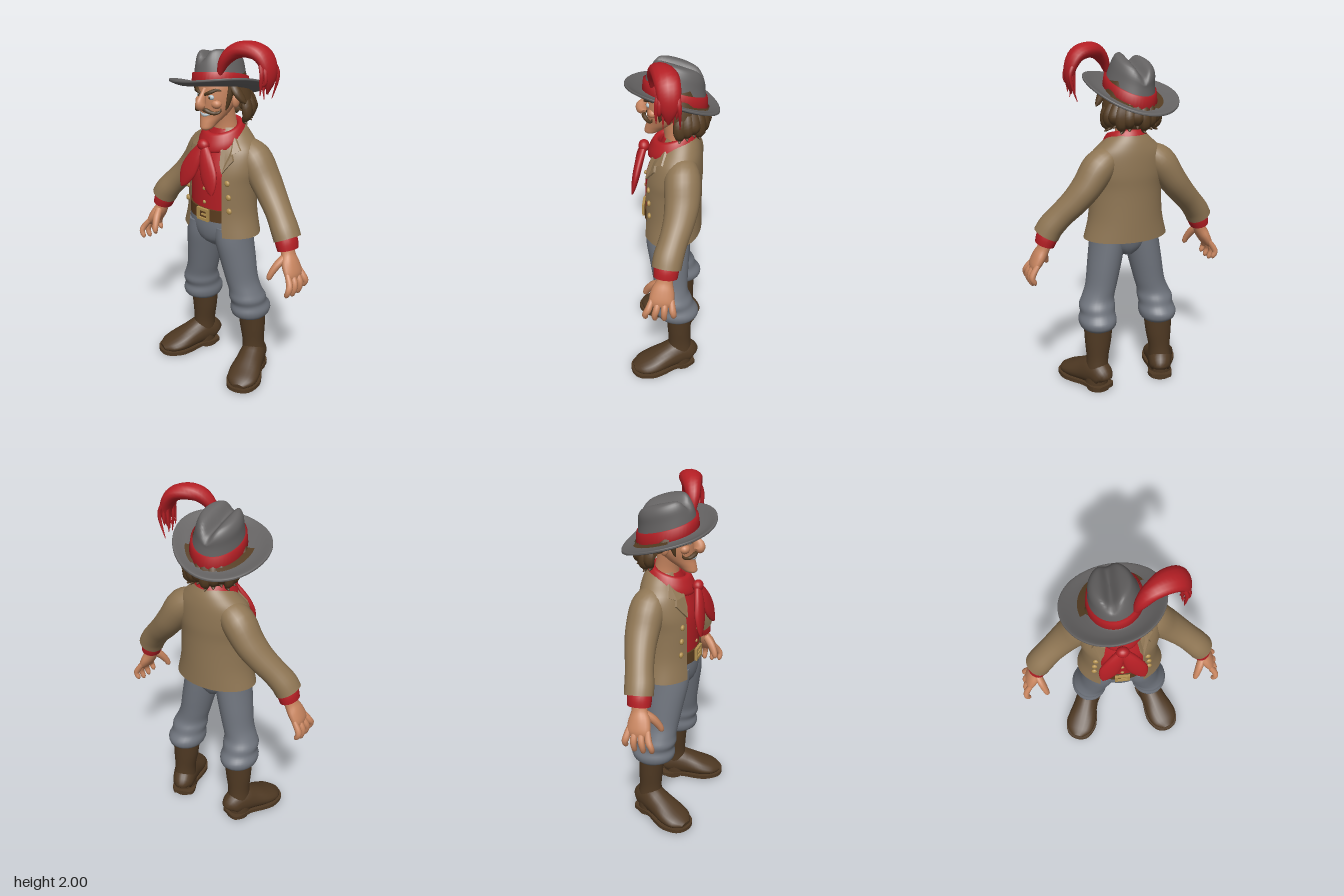
import * as THREE from 'three';

const V = (x, y, z) => new THREE.Vector3(x, y, z);
const X = V(1, 0, 0), Z = V(0, 0, 1);

// Catmull-Rom through rows of numbers, k steps per span
function smooth(st, k) {
  const out = [], n = st.length;
  for (let i = 0; i < n - 1; i++) {
    const p = st[Math.max(i - 1, 0)], q = st[i], r = st[i + 1], s = st[Math.min(i + 2, n - 1)];
    for (let j = 0; j < k; j++) {
      const t = j / k;
      out.push(q.map((b, c) => {
        const cubic = 3 * (b - r[c]) + s[c] - p[c], square = 2 * p[c] - 5 * b + 4 * r[c] - s[c];
        return b + 0.5 * t * (r[c] - p[c] + t * (square + t * cubic));
      }));
    }
  }
  out.push(st[n - 1].slice());
  return out;
}

// Skin over rows of points; closed rows wrap, and may be capped
function skin(rows, closed = true, caps = closed) {
  const n = rows[0].length, pos = [], idx = [], m = closed ? n : n - 1;
  rows.forEach(r => r.forEach(p => pos.push(p.x, p.y, p.z)));
  for (let j = 0; j < rows.length - 1; j++) for (let i = 0; i < m; i++) {
    const a = j * n + i, b = j * n + (i + 1) % n;
    idx.push(a, b, b + n, a, b + n, a + n);
  }
  if (caps) [0, rows.length - 1].forEach((j, top) => {
    const c = rows[j].reduce((s, p) => s.add(p), V(0, 0, 0)).divideScalar(n), base = pos.length / 3;
    [...rows[j], c].forEach(p => pos.push(p.x, p.y, p.z));
    for (let i = 0; i < n; i++) {
      const a = base + i, b = base + (i + 1) % n;
      top ? idx.push(a, b, base + n) : idx.push(b, a, base + n);
    }
  });
  const g = new THREE.BufferGeometry();
  g.setAttribute('position', new THREE.Float32BufferAttribute(pos, 3));
  g.setIndex(idx);
  g.computeVertexNormals();
  return g;
}

// Level slices, bottom up: [x, y, z, rx, rz, frontGapAngle]
function stack(st, seg = 28, k = 4) {
  const open = st[0].length > 5;
  return skin(smooth(st, k).map(([x, y, z, a, b, g = 0]) => Array.from({ length: open ? seg + 1 : seg }, (_, i) => {
    const t = g + (2 * Math.PI - 2 * g) * i / seg;
    return V(x + a * Math.sin(t), y, z + b * Math.cos(t));
  })), !open);
}

// Slices square to a path: [x, y, z, a along ref, b across]
function limb(st, ref, seg = 16, k = 4) {
  const s = smooth(st, k), P = s.map(q => V(q[0], q[1], q[2]));
  return skin(s.map((q, j) => {
    const T = P[Math.min(j + 1, P.length - 1)].clone().sub(P[Math.max(j - 1, 0)]).normalize();
    const u = ref.clone().addScaledVector(T, -ref.dot(T)).normalize(), w = u.clone().cross(T);
    return Array.from({ length: seg }, (_, i) => {
      const t = 2 * Math.PI * i / seg;
      return P[j].clone().addScaledVector(u, q[3] * Math.sin(t)).addScaledVector(w, q[4] * Math.cos(t));
    });
  }));
}

const flip = (s, st) => st.map(([x, ...r]) => [x * s, ...r]);

const jacketRows = [[0, .915, 0, .245, .168, .54], [0, 1.04, -.003, .216, .164, .56], [0, 1.2, -.003, .21, .163, .57],
  [0, 1.3, -.013, .22, .157, .52], [0, 1.4, -.03, .205, .135, .5], [0, 1.465, -.045, .145, .108, .5], [0, 1.51, -.05, .095, .085, .5]];

// Front surface of the jacket
function chestZ(x, y) {
  const j = Math.max(0, jacketRows.findIndex(r => r[1] > y) - 1), p = jacketRows[j], q = jacketRows[j + 1];
  const [, , z, a, b] = p.map((v, c) => v + (q[c] - v) * (y - p[1]) / (q[1] - p[1]));
  return z + b * Math.sqrt(Math.max(.05, 1 - (x / a) ** 2));
}

// Point on the tilted hat: slice [rx, rz, cx, cz, height] at angle t
function hatPoint([a, b, cx, cz, h], t) {
  const x = cx + a * Math.sin(t), z = cz + b * Math.cos(t);
  const dent = .05 * Math.exp(-(((x + .045) / .03) ** 2)) * THREE.MathUtils.smoothstep(h, .09, .19);
  return V(x, 1.72 + h - dent + .3 * z + .17 * x + .5 * (x + .035) ** 2, z);
}
const hatSkin = (rows, t0 = 0, t1 = 0, n = 48) => skin(rows.map(r => Array.from({ length: t1 ? n + 1 : n },
  (_, i) => hatPoint(r, t0 + ((t1 || 2 * Math.PI) - t0) * i / n))), !t1, false);

export function createModel() {
  const root = new THREE.Group();
  const mat = (name, color, side = THREE.FrontSide) => Object.assign(new THREE.MeshStandardMaterial({ color, side }), { name });
  const tan = mat('jacketTan', 0x8f7654, THREE.DoubleSide), grey = mat('trouserGrey', 0x70757e), boot = mat('bootBrown', 0x4f3923);
  const flesh = mat('skin', 0xc98660), red = mat('red', 0xb41e24, THREE.DoubleSide), felt = mat('hatGrey', 0x646262, THREE.DoubleSide);
  const hair = mat('hairBrown', 0x543c22, THREE.DoubleSide), brass = mat('brass', 0xb39150), belt = mat('beltBrown', 0x5b3c1e), white = mat('eyeWhite', 0xb4c4cc);
  const add = (name, geo, m, parent = root) => {
    const o = new THREE.Mesh(geo, m);
    o.name = name;
    parent.add(o);
    return o;
  };
  const blob = (name, m, x, y, z, a, b, c) => {
    const o = add(name, new THREE.SphereGeometry(1, 16, 12), m);
    o.position.set(x, y, z);
    o.scale.set(a, b, c);
  };

  // Torso
  add('hips', stack([[0, .81, 0, .04, .07], [0, .86, .015, .13, .115], [0, .94, .015, .195, .135], [0, 1.04, .005, .19, .142]]), grey);
  add('shirt', stack([[0, 1, .003, .19, .143], [0, 1.2, 0, .188, .148], [0, 1.3, -.01, .19, .143], [0, 1.42, -.035, .155, .112], [0, 1.5, -.04, .09, .085]]), red);
  add('jacket', stack(jacketRows, 48, 5), tan);
  add('belt', stack([[0, .995, .003, .195, .154], [0, 1.065, .003, .195, .154]], 36, 1), belt);
  const frame = new THREE.Shape([[-.042, -.036], [.042, -.036], [.042, .036], [-.042, .036]].map(p => new THREE.Vector2(...p)));
  frame.holes.push(new THREE.Path([[-.027, -.021], [-.027, .021], [.027, .021], [.027, -.021]].map(p => new THREE.Vector2(...p))));
  add('buckle', new THREE.ExtrudeGeometry(frame, { depth: .014, bevelEnabled: false }), brass).position.set(0, 1.03, .153);
  add('bucklePin', new THREE.BoxGeometry(.04, .008, .01), brass).position.set(.01, 1.03, .162);
  [1.1, 1.18, 1.26].forEach(y => blob('shirtButton', brass, 0, y, .147, .011, .011, .008));

  // Neckerchief
  const wrap = smooth([[.07, -.03], [.126, -.045], [.13, -.015], [.116, .02], [.1, .042], [.078, .035], [.07, 0]], 3);
  add('neckerchief', skin(wrap.map(([r, h]) => Array.from({ length: 32 }, (_, i) => {
    const t = i * Math.PI / 16, z = r * 1.04 * Math.cos(t) - .005;
    return V(r * Math.sin(t), 1.468 + h - .3 * z, z);
  })), true, false), red);
  blob('neckerchiefKnot', red, 0, 1.432, .152, .036, .033, .03);

  for (const s of [1, -1]) {
    add('neckerchiefTail', limb(flip(s, [[.004, 1.435, .15, .02, .018], [.04, 1.36, .174, .045, .022], [.075, 1.28, .192, .055, .02],
      [.1, 1.215, .205, .032, .012], [.112, 1.185, .212, .004, .004]]), X), red);

    // Lapel and jacket buttons
    const lapel = new THREE.Shape([[.06, 1.465], [.11, 1.475], [.17, 1.41], [.142, 1.392], [.155, 1.36], [.115, 1.29], [.095, 1.34], [.085, 1.4]]
      .map(([x, y]) => new THREE.Vector2(s * x, y)));
    const lg = new THREE.ExtrudeGeometry(lapel, { depth: .012, bevelEnabled: false }), lp = lg.attributes.position;
    for (let i = 0; i < lp.count; i++) lp.setZ(i, lp.getZ(i) + chestZ(lp.getX(i), lp.getY(i)) + .004);
    lg.computeVertexNormals();
    add('lapel', lg, tan);
    [[.14, 1.235], [.148, 1.155], [.152, 1.075]].forEach(([x, y]) => blob('jacketButton', brass, s * x, y, chestZ(x, y) + .003, .017, .017, .011));

    // Arm
    add('sleeve', limb(flip(s, [[.1, 1.4, -.055, .07, .06], [.175, 1.345, -.065, .097, .09], [.25, 1.24, -.068, .094, .082], [.315, 1.16, -.055, .084, .075],
      [.385, 1.085, -.03, .077, .07], [.44, 1.02, -.008, .08, .072], [.468, .972, 0, .079, .073]]), Z, 24), tan);
    add('shirtCuff', limb(flip(s, [[.445, 1, 0, .062, .056], [.464, .955, .002, .067, .06], [.478, .915, .005, .064, .054]]), Z, 20), red);
    add('palm', limb(flip(s, [[.47, .94, .004, .04, .034], [.484, .89, .01, .045, .035], [.507, .845, .018, .062, .036], [.535, .795, .024, .066, .028], [.548, .768, .026, .045, .014]]), Z), flesh);
    for (let f = 0; f < 4; f++) {
      const z = .074 - .035 * f, e = .108 - .05 * f, d = [.01, 0, 0, .02][f];
      add('finger', limb(flip(s, [[.53, .805, z, .015, .015], [.56, .76, (z + e) / 2, .019, .018], [.567, .725 + d / 2, e, .017, .016],
        [.555, .69 + d, e, .014, .014], [.549, .677 + d, e, .004, .004]]), Z, 10), flesh);
    }
    add('thumb', limb(flip(s, [[.485, .885, .03, .022, .022], [.465, .845, .075, .024, .022], [.448, .8, .105, .02, .018], [.44, .77, .116, .015, .014], [.438, .758, .118, .004, .004]]), Z, 10), flesh);

    // Leg and boot
    add('trouserLeg', stack(flip(s, [[.188, .378, -.045, .082, .085], [.188, .4, -.042, .102, .118], [.188, .435, -.038, .109, .127], [.184, .475, -.028, .1, .11],
      [.182, .515, -.015, .104, .11], [.172, .56, -.006, .094, .098], [.15, .63, 0, .09, .1], [.127, .75, .008, .096, .112], [.106, .87, .017, .1, .123], [.095, .96, .018, .1, .123]])), grey);
    add('bootShaft', stack(flip(s, [[.205, .04, -.055, .068, .075], [.202, .12, -.058, .066, .073], [.198, .2, -.057, .064, .066], [.192, .3, -.054, .077, .07], [.188, .41, -.05, .086, .074]])), boot);
    const foot = new THREE.Group();
    foot.name = 'foot';
    foot.position.set(s * .205, 0, -.055);
    foot.rotation.y = s * .37;
    root.add(foot);
    add('bootFoot', limb([[0, .07, -.084, .03, .035], [0, .085, -.068, .06, .065], [0, .105, 0, .072, .09], [0, .088, .08, .08, .075],
      [0, .065, .17, .093, .054], [0, .052, .24, .08, .036], [0, .045, .285, .035, .016]], X, 20), boot, foot);
    const outline = half => [[.05, -.085], [.072, -.04], [.068, .04], [.09, .12], [.1, .19], [.075, .265], [.03, .297]].map(([x, z]) => new THREE.Vector2(half * x, -z));
    const sole = new THREE.Shape(new THREE.SplineCurve([...outline(1), ...outline(-1).reverse(), outline(1)[0]]).getPoints(48));
    const sg = new THREE.ExtrudeGeometry(sole, { depth: .022, bevelEnabled: false }).rotateX(-Math.PI / 2);
    add('sole', sg, boot, foot).position.y = .014;
    add('heel', new THREE.CylinderGeometry(.07, .068, .03, 20), boot, foot).position.set(0, .015, -.015);
    add('soleFront', new THREE.CylinderGeometry(.088, .082, .02, 20), boot, foot).position.set(0, .01, .18);

    // Face details, one per side
    const c = -.01, at = st => st.map(([x, ...r]) => [c + s * x, ...r]);
    blob('eye', white, c + s * .04, 1.693, .121, .019, .014, .012);
    blob('pupil', hair, c + s * .037, 1.692, .131, .006, .008, .004);
    add('eyebrow', limb(at([[.012, 1.706, .142, .004, .007], [.04, 1.72, .138, .008, .01], [.07, 1.735, .115, .007, .008], [.088, 1.73, .095, .003, .003]]), Z, 8), hair);
    add('moustache', limb(at([[0, 1.63, .148, .008, .008], [.03, 1.624, .146, .012, .013], [.06, 1.61, .124, .01, .01], [.084, 1.618, .104, .007, .007], [.09, 1.638, .098, .002, .002]]), Z, 8), hair);
    add('sideburn', limb(at([[.102, 1.76, .03, .022, .012], [.104, 1.7, .045, .02, .012], [.096, 1.645, .055, .012, .008], [.088, 1.62, .06, .003, .003]]), Z, 8), hair);
    blob('ear', flesh, c + s * .11, 1.665, .005, .018, .04, .026);
    blob('cheek', flesh, c + s * .055, 1.655, .098, .032, .026, .028);
    add('templeLock', limb(at([[.1, 1.75, .02, .025, .025], [.135, 1.72, .025, .03, .02], [.16, 1.68, .01, .022, .016], [.178, 1.66, 0, .004, .004]]), Z, 8), hair);
  }

  // Head
  add('neck', stack([[0, 1.42, -.04, .085, .085], [-.003, 1.52, -.025, .066, .068], [-.008, 1.62, 0, .068, .07]]), flesh);
  add('head', stack([[-.01, 1.508, .12, .014, .014], [-.01, 1.52, .112, .034, .036], [-.01, 1.55, .085, .05, .058], [-.01, 1.59, .05, .075, .082], [-.01, 1.64, .03, .096, .104],
    [-.01, 1.7, .022, .104, .112], [-.01, 1.77, .005, .104, .115], [-.01, 1.83, -.01, .07, .08]]), flesh);
  add('nose', limb([[-.01, 1.636, .14, .012, .012], [-.01, 1.648, .158, .027, .03], [-.01, 1.668, .155, .022, .034], [-.01, 1.7, .138, .014, .022], [-.01, 1.735, .122, .014, .016]], X, 14), flesh);
  add('teeth', limb([[-.045, 1.599, .122, .003, .003], [-.01, 1.594, .138, .005, .009], [.025, 1.599, .122, .003, .003]], Z, 8), white);

  // Hair
  add('hair', stack([[-.01, 1.55, -.075, .1, .085, 1.5], [-.01, 1.58, -.06, .14, .115, 1.45], [-.01, 1.63, -.05, .155, .125, 1.35],
    [-.01, 1.68, -.04, .15, .122, 1.2], [-.01, 1.74, -.03, .135, .12, 1], [-.01, 1.8, -.02, .115, .115, .9]], 32), hair);
  for (let i = 0; i < 11; i++) {
    const t = 1.5 + i * .314, sx = Math.sin(t), cz = Math.cos(t), d = (i % 3) * .014;
    const p = (r, y, a, b) => [-.01 + sx * r * 1.15, y, -.055 + cz * r, a, b];
    add('hairLock', limb([p(.1, 1.69, .03, .02), p(.126, 1.63, .034, .024), p(.128, 1.575 + d, .03, .022), p(.112, 1.545 + d, .016, .014), p(.13, 1.53 + d, .003, .003)], V(cz, 0, -sx), 8), hair);
  }

  // Hat
  add('hat', hatSkin(smooth([[.1, .12, -.02, -.01, -.008], [.2, .19, -.03, 0, -.018], [.258, .243, -.035, 0, -.008], [.266, .25, -.035, 0, 0], [.258, .243, -.035, 0, .008],
    [.2, .2, -.03, 0, -.002], [.142, .17, -.022, -.015, .002], [.134, .162, -.023, -.016, .03], [.12, .15, -.03, -.02, .1], [.11, .14, -.038, -.028, .155],
    [.09, .118, -.04, -.03, .19], [.05, .075, -.042, -.03, .198], [.001, .001, -.042, -.03, .198]], 4)), felt);
  add('hatBand', hatSkin([[.13, .155, -.022, -.015, -.002], [.145, .173, -.022, -.015, .002], [.138, .167, -.024, -.016, .062], [.12, .15, -.027, -.018, .064]]), red);
  [[-2.6, -1.25], [2.1, 2.8]].forEach(([a, b]) => add('brimPatch',
    hatSkin([[.18, .195, -.026, -.006, .004], [.165, .185, -.025, -.009, .006], [.14, .168, -.022, -.015, .009]], a, b, 14), hair));

  // Plume
  add('plume', limb([[.065, 1.81, .095, .012, .012], [.09, 1.885, .085, .035, .03], [.14, 1.94, .06, .05, .04], [.205, 1.955, .028, .062, .042],
    [.27, 1.935, .005, .064, .04], [.308, 1.88, -.004, .058, .032], [.32, 1.81, -.004, .04, .02], [.305, 1.735, 0, .004, .004]], Z, 14), red);
  for (let i = 0; i < 8; i++) {
    const z = -.052 + i * .015, y = 1.7 + (i * 5 % 8) * .013;
    add('plumeBarb', limb([[.28, 1.925, z * .7, .012, .015], [.322 - (i % 3) * .012, 1.86, z, .014, .012], [.325 - (i % 3) * .014, 1.8, z * 1.1, .01, .009],
      [.292 + (i % 2) * .015, y, z * 1.1, .002, .002]], Z, 6), red);
  }
  return root;
}
